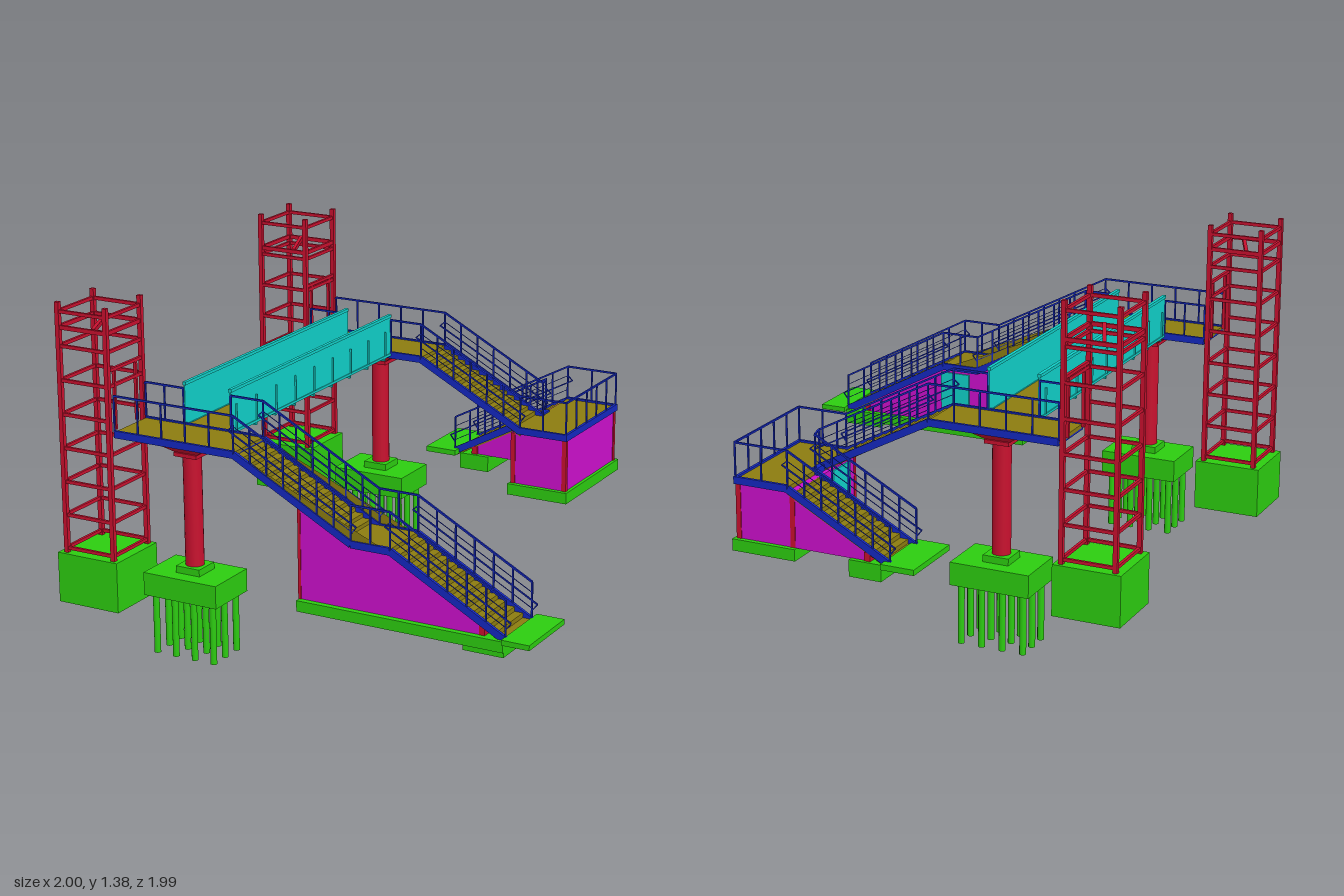
import * as THREE from 'three';

const mat = (color) => new THREE.MeshStandardMaterial({ color, side: THREE.DoubleSide });
const GREEN = mat(0x2ccc10), RED = mat(0xc8102e), MAGENTA = mat(0xcc10cc);
const BLUE = mat(0x1428c0), OLIVE = mat(0x8c7c10), CYAN = mat(0x10d0c8);
const V = (x, y, z) => new THREE.Vector3(x, y, z);

function add(parent, name, geo, material) {
  const m = new THREE.Mesh(geo, material);
  m.name = name;
  parent.add(m);
  return m;
}

// Axis-aligned box given by its limits
function box(parent, name, material, x0, x1, y0, y1, z0, z1) {
  const m = add(parent, name, new THREE.BoxGeometry(x1 - x0, y1 - y0, z1 - z0), material);
  m.position.set((x0 + x1) / 2, (y0 + y1) / 2, (z0 + z1) / 2);
  return m;
}

// Bar of rectangular section running from a to b
function bar(parent, name, material, a, b, w, h = w) {
  const m = add(parent, name, new THREE.BoxGeometry(w, h, a.distanceTo(b)), material);
  m.position.copy(a).add(b).multiplyScalar(0.5);
  m.lookAt(b);
  return m;
}

// Side profile in x-y extruded between two z values
function slab(parent, name, material, pts, z0, z1) {
  const shape = new THREE.Shape(pts.map(([x, y]) => new THREE.Vector2(x, y)));
  const geo = new THREE.ExtrudeGeometry(shape, { depth: z1 - z0, bevelEnabled: false });
  return add(parent, name, geo.translate(0, 0, z0), material);
}

// Walkway along a path in x-y: level decks, stepped flights, edge stringers
function walkway(parent, path, z0, z1) {
  const g = new THREE.Group();
  g.name = 'walkway';
  parent.add(g);
  const top = [path[0]];
  for (let i = 1; i < path.length; i++) {
    const [xa, ya] = path[i - 1], [xb, yb] = path[i];
    const n = ya === yb ? 0 : Math.round(Math.abs(xb - xa) / 0.033);
    for (let k = 1; k <= n; k++) {
      const y = ya + (yb - ya) * k / n;
      top.push([xa + (xb - xa) * (k - 1) / n, y], [xa + (xb - xa) * k / n, y]);
    }
    if (!n) top.push([xb, yb]);
    for (const z of [z0, z1]) {
      bar(g, 'stringer', BLUE, V(xa, ya - 0.008, z), V(xb, yb - 0.008, z), 0.012, 0.028);
    }
  }
  const under = path.map(([x, y], i) => {
    const flat = (i && path[i - 1][1] === y) || (path[i + 1] && path[i + 1][1] === y);
    return [x, y - (flat ? 0.015 : 0.03)];
  }).reverse();
  slab(g, 'deckAndSteps', OLIVE, [...top, ...under], z0, z1);
}

// Railing along a polyline: posts, top rail, thin infill rails on the flights
function railing(parent, pts) {
  const g = new THREE.Group();
  g.name = 'railing';
  parent.add(g);
  const up = (p, h) => p.clone().setY(p.y + h);
  for (let i = 1; i < pts.length; i++) {
    const a = pts[i - 1], b = pts[i], sloped = a.y !== b.y;
    const n = Math.max(1, Math.round(a.distanceTo(b) / (sloped ? 0.085 : 0.1)));
    for (let k = i === 1 ? 0 : 1; k <= n; k++) {
      const p = a.clone().lerp(b, k / n);
      bar(g, 'railPost', BLUE, p, V(p.x + 0.00001, p.y + 0.14, p.z), 0.006);
    }
    bar(g, 'topRail', BLUE, up(a, 0.14), up(b, 0.14), 0.007);
    if (!sloped) continue;
    for (const h of [0.04, 0.1]) bar(g, 'infillRail', BLUE, up(a, h), up(b, h), 0.0025);
    // Handrail with looped ends
    const e = b.clone().sub(a).setLength(0.025);
    const p = up(a, 0.07).sub(e), q = up(b, 0.07).add(e);
    bar(g, 'handrail', BLUE, p, q, 0.005);
    bar(g, 'handrailEnd', BLUE, p, up(a, 0.1), 0.004);
    bar(g, 'handrailEnd', BLUE, q, up(b, 0.03), 0.004);
  }
}

// Lattice lift tower on a foundation block
function liftTower(parent, zc, yBase, yTop, doorY) {
  const g = new THREE.Group();
  g.name = 'liftTower';
  parent.add(g);
  const xs = [-0.97, -0.757], zs = [zc - 0.113, zc + 0.113];
  box(g, 'towerFoundation', GREEN, -1, -0.73, yBase - 0.2, yBase, zc - 0.135, zc + 0.135);
  for (const x of xs) for (const z of zs) {
    box(g, 'towerPost', RED, x - 0.009, x + 0.009, yBase, yTop, z - 0.009, z + 0.009);
  }
  const ring = (y, h) => {
    for (const z of zs) bar(g, 'towerRung', RED, V(xs[0], y, z), V(xs[1], y, z), 0.011, h);
    for (const x of xs) {
      const blocksDoor = x === xs[1] && y > doorY && y < doorY + 0.16;
      if (!blocksDoor) bar(g, 'towerRung', RED, V(x, y, zs[0]), V(x, y, zs[1]), 0.011, h);
    }
  };
  for (let k = 0; k < 8; k++) ring(yBase + 0.018 + k * 0.133, 0.013);
  ring(1.238, 0.016);
  // Hoist beam and diagonal
  bar(g, 'hoistBeam', RED, V(-0.91, 1.24, zs[0]), V(-0.815, 1.24, zs[1]), 0.014, 0.018);
  // Door frame at deck level
  for (const s of [-0.07, 0.07]) {
    box(g, 'doorJamb', RED, -0.763, -0.751, doorY, doorY + 0.24, zc + s - 0.005, zc + s + 0.005);
  }
  bar(g, 'doorHead', RED, V(-0.757, doorY + 0.235, zs[0]), V(-0.757, doorY + 0.235, zs[1]), 0.012);
}

// Column with flared capital on a piled foundation
function pier(parent, zc) {
  const g = new THREE.Group();
  g.name = 'pier';
  g.position.set(-0.468, 0, zc);
  parent.add(g);
  box(g, 'pileCap', GREEN, -0.16, 0.16, 0.235, 0.325, -0.11, 0.11);
  box(g, 'pedestal', GREEN, -0.052, 0.052, 0.325, 0.352, -0.052, 0.052);
  for (let i = 0; i < 4; i++) for (const z of [-0.08, 0, 0.08]) {
    const p = add(g, 'pile', new THREE.CylinderGeometry(0.013, 0.013, 0.236, 10), GREEN);
    p.position.set(-0.126 + i * 0.084, 0.118, z);
  }
  const c = add(g, 'column', new THREE.CylinderGeometry(0.036, 0.036, 0.49, 20), RED);
  c.position.y = 0.597;
  box(g, 'columnCollar', RED, -0.05, 0.05, 0.785, 0.8, -0.05, 0.05);
  const cap = add(g, 'capital', new THREE.CylinderGeometry(0.165, 0.07, 0.045, 4).toNonIndexed(), RED);
  cap.geometry.rotateY(Math.PI / 4).computeVertexNormals();
  cap.scale.z = 0.85;
  cap.position.y = 0.822;
}

// Louvred service door, local x along the wall and z outward
function door(parent, x, y, z, w, h, ry) {
  const g = new THREE.Group();
  g.name = 'serviceDoor';
  g.position.set(x, y, z);
  g.rotation.y = ry;
  parent.add(g);
  box(g, 'doorLeaf', CYAN, -w / 2, w / 2, 0, h, -0.004, 0.004);
  for (const s of [-1, 1]) {
    const c = s * w / 4;
    box(g, 'doorLouvre', CYAN, c - w / 6, c + w / 6, 0.03, 0.07, 0.004, 0.008);
  }
}

export function createModel() {
  const model = new THREE.Group();
  model.name = 'footbridge';
  const F0 = 0.745, F1 = 0.955, B0 = -0.69, B1 = -0.48, R0 = -0.96, R1 = -0.75;
  const along = (path, z) => path.map(([x, y]) => V(x, y, z));

  // Towers and piers
  liftTower(model, 0.853, 0.35, 1.335, 0.86);
  liftTower(model, -0.582, 0.395, 1.38, 0.86);
  pier(model, 0.85);
  pier(model, -0.585);

  // Bridge span with plate girders
  const span = new THREE.Group();
  span.name = 'bridgeSpan';
  model.add(span);
  box(span, 'spanDeck', OLIVE, -0.565, -0.365, 0.848, 0.858, B1, F0);
  for (const [x, s] of [[-0.566, -1], [-0.364, 1]]) {
    box(span, 'girderWeb', CYAN, x - 0.003, x + 0.003, 0.855, 1.02, B1, F0);
    box(span, 'girderTopFlange', CYAN, x - 0.007, x + 0.007, 1.012, 1.024, B1, F0);
    box(span, 'girderBottomFlange', CYAN, x - 0.007, x + 0.007, 0.85, 0.86, B1, F0);
    for (let i = 0; i < 9; i++) {
      const z = -0.43 + i * 0.1425;
      box(span, 'girderStiffener', CYAN, x + Math.min(0, s * 0.01), x + Math.max(0, s * 0.01), 0.86, 0.96, z - 0.002, z + 0.002);
    }
  }
  for (let i = 0; i < 9; i++) {
    const z = -0.43 + i * 0.1425;
    box(span, 'crossBeam', CYAN, -0.57, -0.36, 0.838, 0.85, z - 0.005, z + 0.005);
  }

  // Front stair: two straight flights with a landing
  const front = [[-0.74, 0.86], [-0.22, 0.86], [0.27, 0.6], [0.43, 0.6], [0.89, 0.35]];
  walkway(model, front, F0, F1);
  railing(model, along(front, F1));
  railing(model, along([front[0], [-0.57, 0.86]], F0));
  railing(model, along([[-0.36, 0.86], ...front.slice(1)], F0));
  slab(model, 'frontStairWall', MAGENTA, [[0.05, 0.34], [0.8, 0.34], [0.8, 0.376], [0.43, 0.582], [0.27, 0.582], [0.05, 0.695]], F0 + 0.004, F1 - 0.004);
  box(model, 'frontWallPost', RED, 0.785, 0.808, 0.34, 0.385, F0 + 0.001, F1 - 0.001);
  for (const z of [F0 + 0.008, F1 - 0.008]) box(model, 'frontWallPost', RED, 0.046, 0.058, 0.34, 0.69, z - 0.006, z + 0.006);
  box(model, 'frontStripFooting', GREEN, 0.05, 0.89, 0.3, 0.342, 0.725, 0.975);
  box(model, 'frontEndFooting', GREEN, 0.73, 0.89, 0.28, 0.34, 0.73, 0.97);
  box(model, 'frontStartSlab', GREEN, 0.89, 1, 0.335, 0.355, 0.705, 0.99);
  door(model, 0.375, 0.342, F0 + 0.002, 0.13, 0.225, Math.PI);

  // Back stair: upper flight, wide landing and return flight
  const upper = [[-0.74, 0.86], [-0.22, 0.86], [0.235, 0.62]];
  const lower = [[0.22, 0.62], [-0.2, 0.395]];
  walkway(model, upper, B0, B1);
  walkway(model, lower, R0, R1);
  box(model, 'landingDeck', OLIVE, 0.22, 0.44, 0.603, 0.62, R0, B1);
  box(model, 'landingEdge', BLUE, 0.434, 0.446, 0.6, 0.628, R0 - 0.006, B1 + 0.006);
  box(model, 'landingEdge', BLUE, 0.212, 0.235, 0.6, 0.628, R1 - 0.006, B0 + 0.006);
  for (const z of [R0, B1]) box(model, 'landingEdge', BLUE, 0.22, 0.44, 0.6, 0.628, z - 0.006, z + 0.006);
  railing(model, along([upper[0], upper[1]], B0));
  railing(model, along([upper[0], [-0.57, 0.86]], B1));
  railing(model, [...along([[-0.36, 0.86], [-0.22, 0.86], [0.235, 0.62], [0.44, 0.62]], B1), ...along([[0.44, 0.62], ...lower], R0)]);
  railing(model, [...along(upper.slice(1), B0), ...along(lower, R1)]);
  slab(model, 'returnFlightWall', MAGENTA, [[-0.1, 0.385], [0.22, 0.385], [0.22, 0.6], [-0.1, 0.425]], R0 + 0.004, R1 - 0.004);
  box(model, 'landingWall', MAGENTA, 0.195, 0.438, 0.385, 0.603, R0 + 0.005, B1 - 0.005);
  for (const x of [0.203, 0.432]) for (const z of [R0 + 0.01, B1 - 0.01]) {
    box(model, 'landingWallPost', RED, x - 0.01, x + 0.01, 0.385, 0.6, z - 0.008, z + 0.008);
  }
  box(model, 'returnWallPost', RED, -0.12, -0.095, 0.385, 0.42, R0 - 0.003, R1 + 0.003);
  box(model, 'landingFooting', GREEN, 0.187, 0.452, 0.34, 0.386, -0.975, -0.465);
  box(model, 'returnFooting', GREEN, -0.17, -0.038, 0.32, 0.386, -0.975, -0.735);
  box(model, 'returnStartSlab', GREEN, -0.316, -0.18, 0.378, 0.4, -1, -0.71);
  door(model, 0.192, 0.386, -0.6, 0.13, 0.21, -Math.PI / 2);

  // Cross beams under the upper decks
  for (const [z0, z1] of [[F0, F1], [B0, B1]]) for (const x of [-0.735, -0.64, -0.3, -0.225]) {
    box(model, 'deckCrossBeam', BLUE, x - 0.005, x + 0.005, 0.838, 0.85, z0, z1);
  }
  return model;
}
